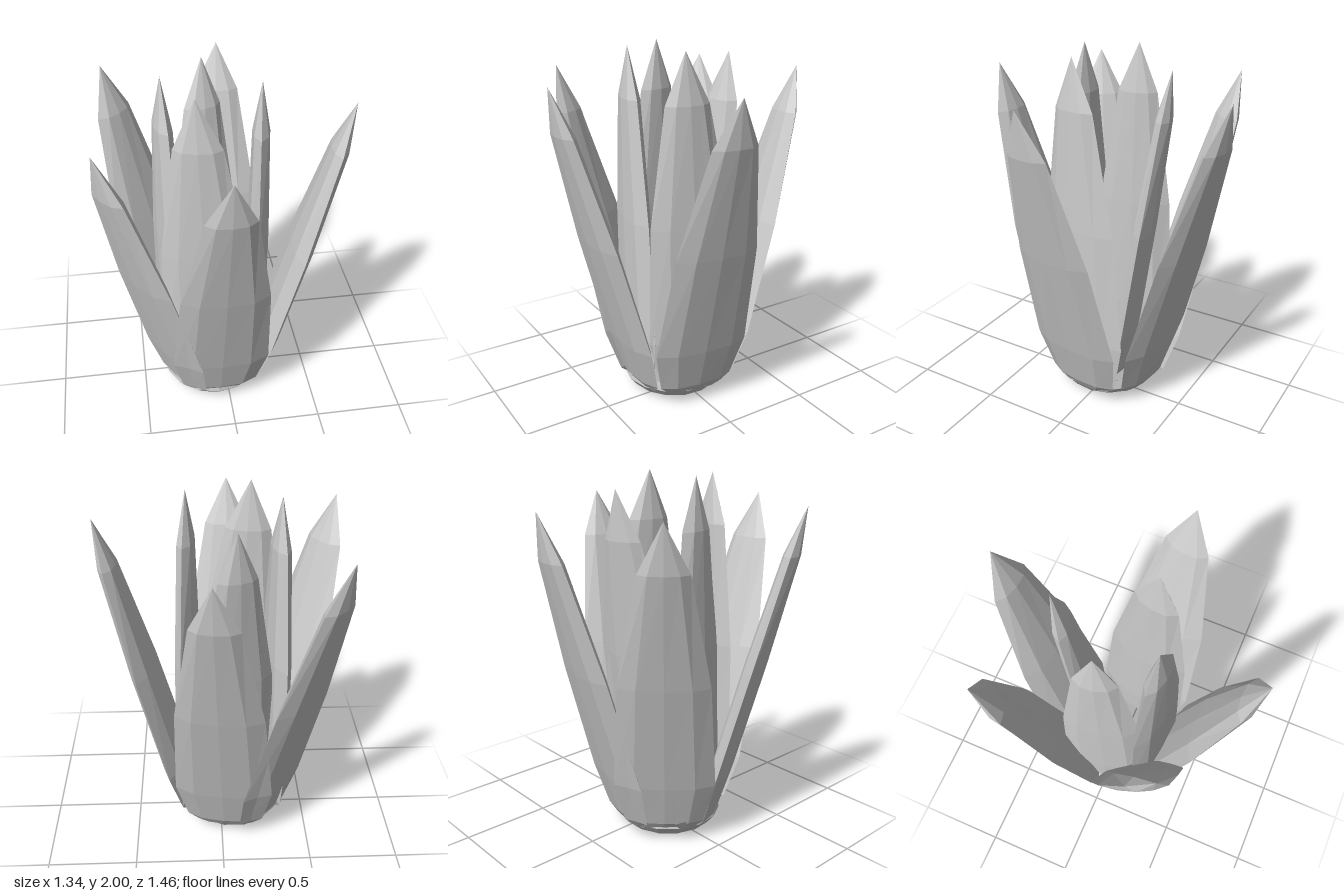
import * as THREE from 'three';

const material = new THREE.MeshStandardMaterial({ color: 0xcccccc, flatShading: true });

// fraction of length, half width, half thickness
const PROFILE = [
  [0, 0.16, 0.03], [0.03, 0.22, 0.05], [0.17, 0.275, 0.06],
  [0.52, 0.235, 0.06], [0.86, 0.125, 0.045], [1, 0, 0],
];
// faceted lens section: across, outward (counterclockwise from above)
const SECTION = [
  [1, 0], [0.6, -0.8], [0, -1], [-0.6, -0.8],
  [-1, 0], [-0.6, 0.8], [0, 1], [0.6, 0.8],
];

// Pointed petal from base to tip; (nx, nz) is the way its broad face looks
function petal(name, base, tip, nx, nz, widthScale = 1) {
  const a = new THREE.Vector3(...base), b = new THREE.Vector3(...tip);
  const out = new THREE.Vector3(nx, 0, nz).normalize();
  const across = new THREE.Vector3(out.z, 0, -out.x);
  const n = SECTION.length, pos = [], idx = [];
  for (const [t, w, d] of PROFILE) {
    const c = a.clone().lerp(b, t);
    for (const [u, v] of SECTION) {
      const p = c.clone().addScaledVector(across, u * w * widthScale).addScaledVector(out, v * d);
      pos.push(p.x, p.y, p.z);
    }
  }
  const last = PROFILE.length - 2;
  for (let i = 0; i <= last; i++) {
    for (let j = 0; j < n; j++) {
      const k = (j + 1) % n, lo = i * n, hi = lo + n;
      idx.push(lo + j, lo + k, hi + k);
      if (i < last) idx.push(lo + j, hi + k, hi + j);
    }
  }
  // base cap
  for (let j = 1; j < n - 1; j++) idx.push(0, j + 1, j);
  const g = new THREE.BufferGeometry();
  g.setAttribute('position', new THREE.Float32BufferAttribute(pos, 3));
  g.setIndex(idx);
  g.computeVertexNormals();
  const mesh = new THREE.Mesh(g, material);
  mesh.name = name;
  return mesh;
}

export function createModel() {
  const group = new THREE.Group();
  group.name = 'flower';
  const cx = -0.06, cz = 0;

  // five outer petals flaring from the cup
  const tips = [[0.66, 0.09], [-0.06, 0.73], [-0.66, 0.42], [-0.6, -0.51], [0.06, -0.73]];
  tips.forEach(([x, z], i) => {
    const dir = new THREE.Vector2(x - cx, z - cz).normalize();
    const base = [cx + dir.x * 0.25, 0.07, cz + dir.y * 0.25];
    group.add(petal('outerPetal' + (i + 1), base, [x, 1.85, z], dir.x, dir.y));
  });

  // four inner petals, three upright and one leaning back
  group.add(
    petal('innerPetalLeft', [0.19, 0.08, 0.02], [0.175, 2, 0.09], 0.99, 0.16),
    petal('innerPetalFront', [-0.09, 0.08, 0.24], [-0.17, 2, 0.23], -0.16, 0.99),
    petal('innerPetalRight', [-0.31, 0.08, 0], [-0.31, 2, -0.03], -0.98, 0.2, 0.9),
    petal('innerPetalBack', [-0.1, 0.08, -0.06], [-0.07, 1.94, -0.35], -0.3, -0.95, 0.85),
  );

  // shallow cup under the petals
  const cup = new THREE.Mesh(new THREE.LatheGeometry([
    new THREE.Vector2(0, 0), new THREE.Vector2(0.2, 0.005),
    new THREE.Vector2(0.26, 0.03), new THREE.Vector2(0.3, 0.08), new THREE.Vector2(0.29, 0.13),
  ], 15), material);
  cup.name = 'cup';
  cup.position.set(-0.07, 0, 0.01);
  group.add(cup);
  return group;
}
